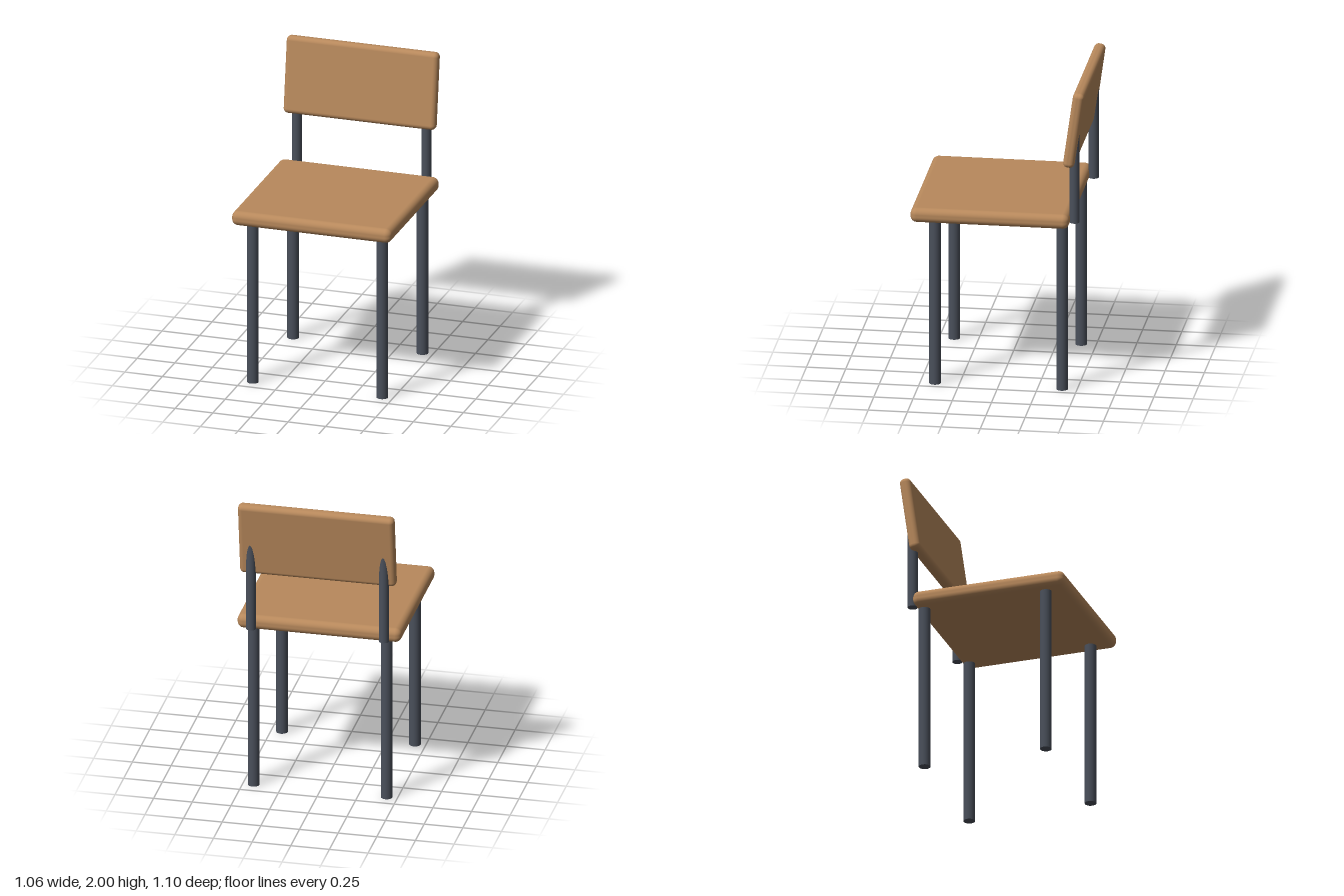
import * as THREE from 'three';
import { RoundedBoxGeometry } from 'three/addons/geometries/RoundedBoxGeometry.js';

export function createModel() {
  const chair = new THREE.Group();
  chair.name = 'chair';
  const wood = new THREE.MeshStandardMaterial({ name: 'wood', color: 0xb8895c });
  const metal = new THREE.MeshStandardMaterial({ name: 'darkMetal', color: 0x4a505b });

  const add = (name, geometry, material, x, y, z) => {
    const mesh = new THREE.Mesh(geometry, material);
    mesh.name = name;
    mesh.position.set(x, y, z);
    chair.add(mesh);
    return mesh;
  };
  // Upright tube between two heights
  const tube = (name, r, x, z, y0, y1) =>
    add(name, new THREE.CylinderGeometry(r, r, y1 - y0, 24), metal, x, (y0 + y1) / 2, z);

  // Padded seat board
  add('seat', new RoundedBoxGeometry(1.06, 0.095, 1.01, 5, 0.04), wood, 0, 1.143, 0.047);

  // Backrest, leaning backwards
  const back = add('backrest', new RoundedBoxGeometry(1.01, 0.503, 0.072, 5, 0.03), wood, 0, 1.75, -0.485);
  back.rotation.x = -0.14;

  // Legs and backrest posts, mirrored left and right
  for (const [side, s] of [['left', 1], ['right', -1]]) {
    tube(side + 'FrontLeg', 0.037, 0.43 * s, 0.405, 0, 1.11);
    tube(side + 'BackLeg', 0.037, 0.43 * s, -0.405, 0, 1.11);
    tube(side + 'BackPost', 0.032, 0.43 * s, -0.484, 1.12, 1.73);
  }
  return chair;
}
